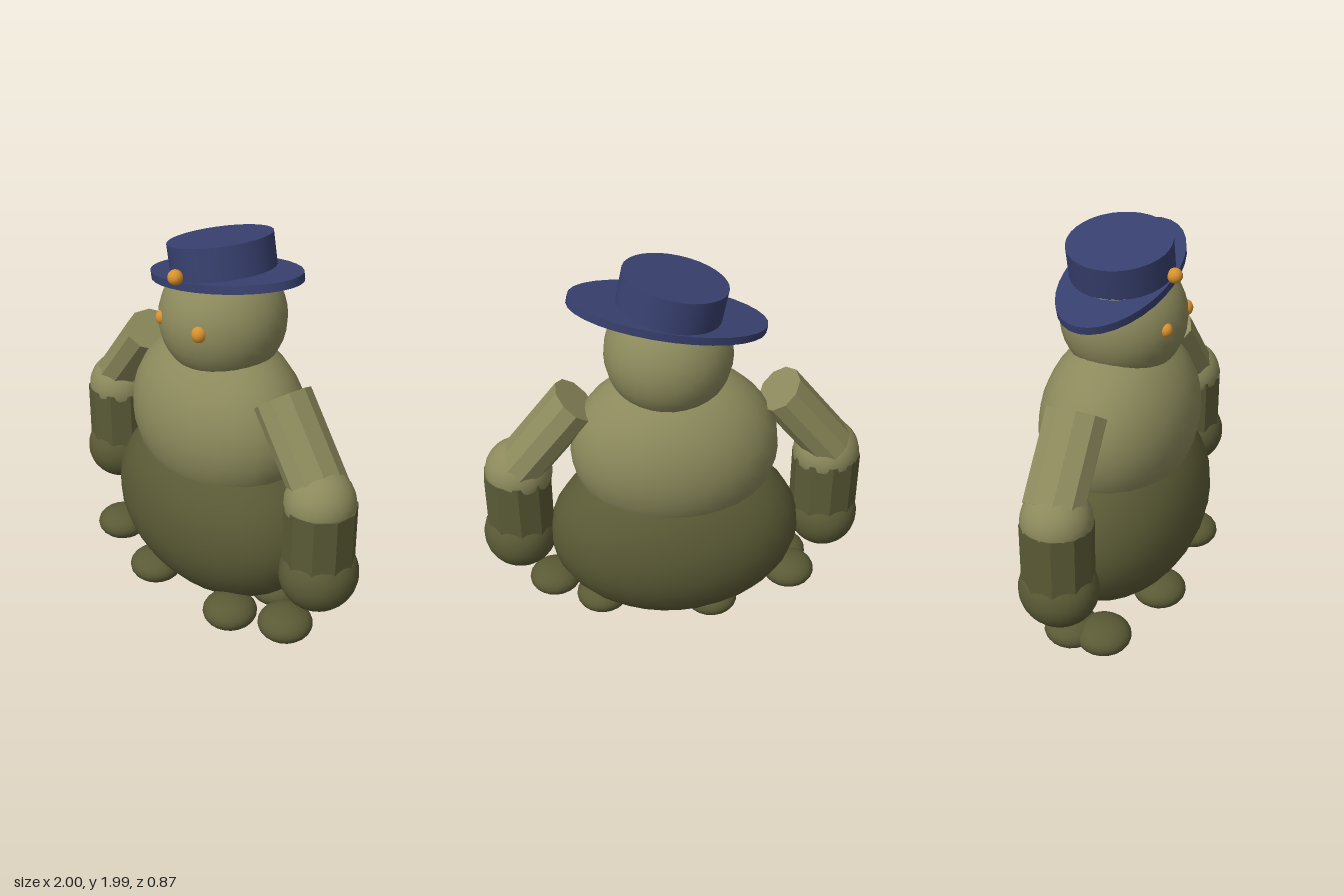
import * as THREE from 'three';

const mat = (name, color, flatShading = false) => {
  const m = new THREE.MeshStandardMaterial({ color });
  m.name = name;
  m.flatShading = flatShading;
  return m;
};

export function createModel() {
  const root = new THREE.Group();
  root.name = 'roundFigure';
  const light = mat('light olive', 0x8c8a5c);
  const dark = mat('dark olive', 0x5a5a36);
  const navy = mat('navy', 0x38406f);
  const orange = mat('orange', 0xd8922f);

  const add = (parent, name, geometry, material, x, y, z) => {
    const mesh = new THREE.Mesh(geometry, material);
    mesh.name = name;
    mesh.position.set(x, y, z);
    parent.add(mesh);
    return mesh;
  };
  const ball = (parent, name, material, [x, y, z], [rx, ry, rz], segments = 28) =>
    add(parent, name, new THREE.SphereGeometry(1, segments, segments / 2 + 4), material, x, y, z).scale.set(rx, ry, rz);
  // Prism with hard facets, ten sides
  const prism = (r, h) => {
    const g = new THREE.CylinderGeometry(r, r, h, 10).toNonIndexed();
    g.computeVertexNormals();
    return g;
  };

  // Body
  ball(root, 'lowerBody', dark, [-0.01, 0.5, 0], [0.66, 0.49, 0.43]);
  ball(root, 'torso', light, [-0.01, 1.02, -0.005], [0.53, 0.46, 0.385]);
  ball(root, 'head', light, [0.02, 1.56, -0.005], [0.317, 0.317, 0.317]);

  // Eyes
  ball(root, 'rightEye', orange, [-0.105, 1.585, 0.272], [0.033, 0.036, 0.033], 16);
  ball(root, 'leftEye', orange, [0.165, 1.585, 0.26], [0.038, 0.042, 0.038], 16);

  // Tilted hat: oval brim, round crown, front button
  const hat = new THREE.Group();
  hat.name = 'hat';
  hat.position.set(0.022, 1.776, -0.013);
  hat.rotation.z = 0.2;
  root.add(hat);
  add(hat, 'brim', new THREE.CylinderGeometry(1, 1, 0.04, 32), navy, 0, 0, 0).scale.set(0.488, 1, 0.266);
  add(hat, 'crown', new THREE.CylinderGeometry(0.258, 0.258, 0.18, 32), navy, 0, 0.09, 0);
  ball(root, 'hatButton', orange, [0, 1.82, 0.268], [0.038, 0.038, 0.038], 16);

  // Arms: shoulder end, elbow and hand for each side
  const arms = [
    { name: 'rightArm', shoulder: [-0.54, 1.295, 0.015], elbow: [-0.815, 0.88, 0.043], hand: [-0.82, 0.492, 0.045], tip: [-0.825, 0.94, 0.03], r: 0.185 },
    { name: 'leftArm', shoulder: [0.483, 1.3, 0.015], elbow: [0.79, 0.88, 0.043], hand: [0.805, 0.492, 0.045], tip: [0.787, 0.92, 0.03], r: 0.193 },
  ];
  for (const { name, shoulder, elbow, hand, tip, r } of arms) {
    const arm = new THREE.Group();
    arm.name = name;
    root.add(arm);
    const a = new THREE.Vector3(...shoulder), b = new THREE.Vector3(...tip);
    const mid = a.clone().add(b).multiplyScalar(0.5);
    const upper = add(arm, 'upperArm', prism(1, a.distanceTo(b)), light, mid.x, mid.y, mid.z);
    upper.quaternion.setFromUnitVectors(new THREE.Vector3(0, 1, 0), a.clone().sub(b).normalize());
    upper.scale.set(0.125, 1, 0.155);
    ball(arm, 'elbow', light, elbow, [0.173, 0.175, 0.173]);
    add(arm, 'forearm', prism(0.178, 0.38), dark, (elbow[0] + hand[0]) / 2, 0.685, 0.044);
    ball(arm, 'hand', dark, hand, [r, 0.19, 0.198]);
  }

  // Feet scattered around the base
  const feet = [[-0.635, 0.19], [-0.65, 0.02], [-0.18, 0.295], [-0.19, -0.16], [0.385, 0.25], [0.39, -0.07], [0.64, 0.1]];
  for (const [x, z] of feet) ball(root, 'foot', dark, [x, 0.115, z], [0.14, 0.085, 0.14], 20);

  return root;
}
